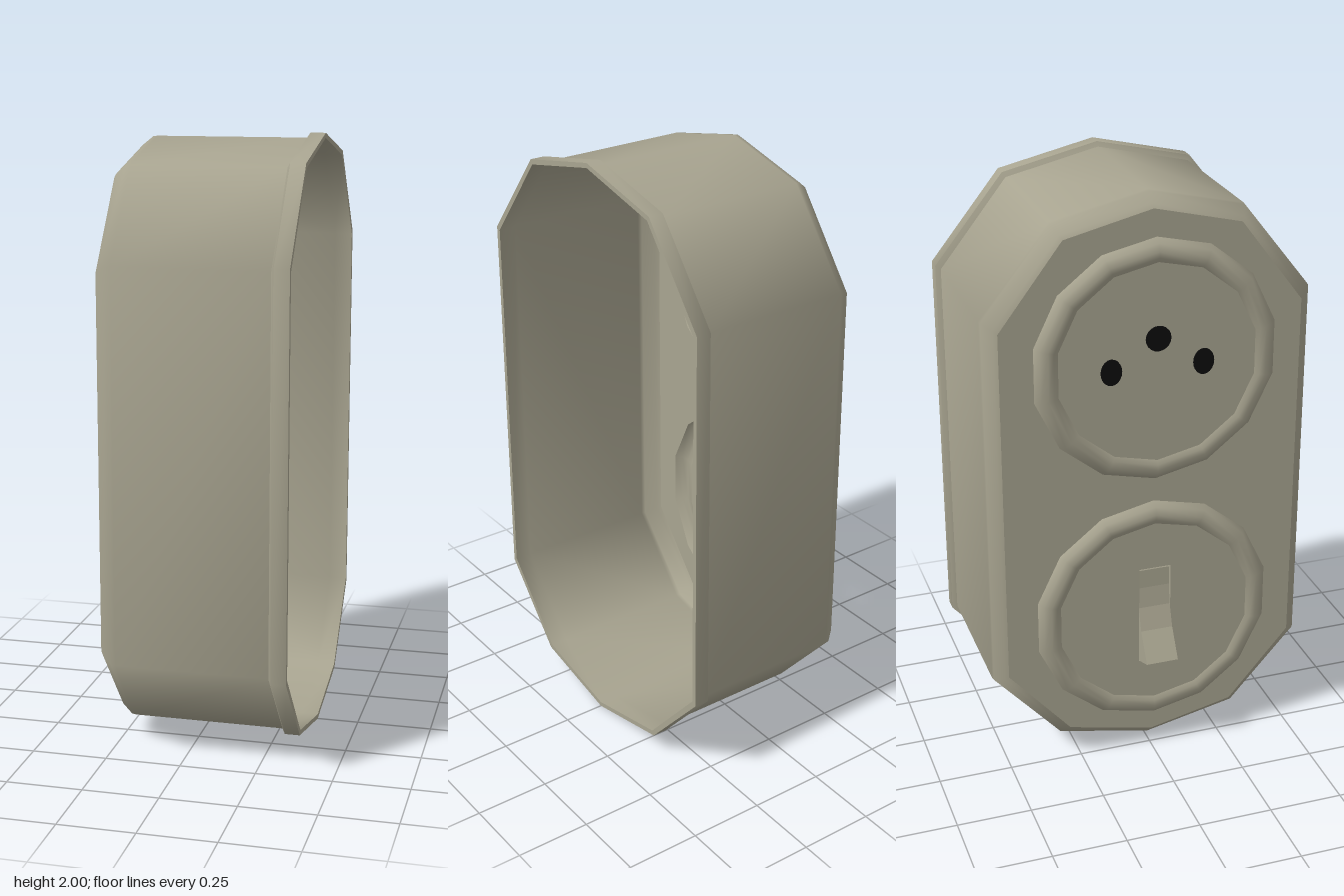
import * as THREE from 'three';

const shell = new THREE.MeshStandardMaterial({ color: 0xa8a490, side: THREE.DoubleSide });
shell.name = 'warm grey plastic';
const dark = new THREE.MeshStandardMaterial({ color: 0x0c0c0c, side: THREE.DoubleSide });
dark.name = 'black pin holes';

// Half outline of the housing as [z, y], mirrored into a closed ten-sided loop
const half = [[0.325, 1.925], [0.56, 1.63], [0.56, 0.33], [0.325, 0.07]];
const outline = [[0, 2], ...half, [0, 0], ...half.map(([z, y]) => [-z, y]).reverse()];
const inset = d => outline.map(([z, y]) => [z * (0.56 - d) / 0.56, 1 + (y - 1) * (1 - d)]);

const circle = (cy, cz, r, n = 14) => Array.from({ length: n }, (_, i) => {
  const a = i / n * Math.PI * 2;
  return [cz + r * Math.sin(a), cy + r * Math.cos(a)];
});

// Skin between closed rings, each given as { x, pts: [[z, y], ...] }
function loft(rings, flat = false) {
  const pos = [], idx = [], n = rings[0].pts.length;
  for (const { x, pts } of rings) for (const [z, y] of pts) pos.push(x, y, z);
  for (let k = 0; k < rings.length - 1; k++) {
    for (let j = 0; j < n; j++) {
      const a = k * n + j, b = k * n + (j + 1) % n;
      idx.push(a, b, a + n, b, b + n, a + n);
    }
  }
  let g = new THREE.BufferGeometry();
  g.setAttribute('position', new THREE.Float32BufferAttribute(pos, 3));
  g.setIndex(idx);
  if (flat) g = g.toNonIndexed();
  g.computeVertexNormals();
  return g;
}

// Flat plate at x, facing -x, with optional holes
function plate(x, pts, holes = []) {
  const toVec = p => p.map(([z, y]) => new THREE.Vector2(z, y));
  const s = new THREE.Shape(toVec(pts));
  s.holes = holes.map(h => new THREE.Path(toVec(h)));
  return new THREE.ShapeGeometry(s).rotateY(-Math.PI / 2).translate(x, 0, 0);
}

export function createModel() {
  const model = new THREE.Group();
  model.name = 'wallSocketWithSwitch';
  const add = (name, geo, mat = shell) => {
    const m = new THREE.Mesh(geo, mat);
    m.name = name;
    model.add(m);
    return m;
  };

  const dials = [
    { name: 'socket', cy: 1.44, cz: 0.01 },
    { name: 'switch', cy: 0.54, cz: 0.005 },
  ];

  // Housing: bevelled open box
  add('housingWall', loft([
    [-0.26, 0.06], [-0.25, 0.046], [-0.215, 0.018], [-0.2, 0.016], [0.3, 0.016],
  ].map(([x, d]) => ({ x, pts: inset(d) }))));
  add('facePlate', plate(-0.26, inset(0.06), dials.map(d => circle(d.cy, d.cz, 0.41))));

  // Lip around the open side
  const lip = [[0.3, 0.016], [0.31, 0], [0.36, 0], [0.36, 0.016], [0.3, 0.016]];
  for (let i = 0; i < lip.length - 1; i++) {
    add('lip', loft(lip.slice(i, i + 2).map(([x, d]) => ({ x, pts: inset(d) }))));
  }

  // Raised rim and sunken disc of each dial
  const [z0, z1, y0, y1] = [-0.05, 0.06, 0.355, 0.71];
  const slot = [[z0, y1], [z1, y1], [z1, y0], [z0, y0]];
  for (const { name, cy, cz } of dials) {
    add(name + 'Rim', loft([
      [-0.28, 0.335], [-0.288, 0.35], [-0.29, 0.37], [-0.282, 0.395], [-0.26, 0.41],
    ].map(([x, r]) => ({ x, pts: circle(cy, cz, r) }))));
    add(name + 'Disc', plate(-0.28, circle(cy, cz, 0.335), name === 'switch' ? [slot] : []));
  }

  // Pin holes
  for (const [y, z, rz, ry] of [[1.525, 0.01, 0.042, 0.042], [1.43, 0.162, 0.035, 0.044], [1.43, -0.145, 0.035, 0.044]]) {
    const hole = add('pinHole', new THREE.CylinderGeometry(1, 1, 0.008, 20).rotateZ(Math.PI / 2), dark);
    hole.scale.set(1, ry, rz);
    hole.position.set(-0.28, y, z);
  }

  // Rocker in its slot, concave above and kicked out below
  add('rockerSlot', loft([{ x: -0.255, pts: slot }, { x: -0.28, pts: slot }], true));
  const rocker = new THREE.Shape([
    [-0.252, y1], [-0.262, 0.695], [-0.264, 0.63], [-0.275, 0.56], [-0.302, 0.485],
    [-0.362, 0.39], [-0.285, 0.36], [-0.252, y0],
  ].map(([x, y]) => new THREE.Vector2(x, y)));
  add('rocker', new THREE.ExtrudeGeometry(rocker, { depth: z1 - z0, bevelEnabled: false }).translate(0, 0, z0));

  return model;
}
